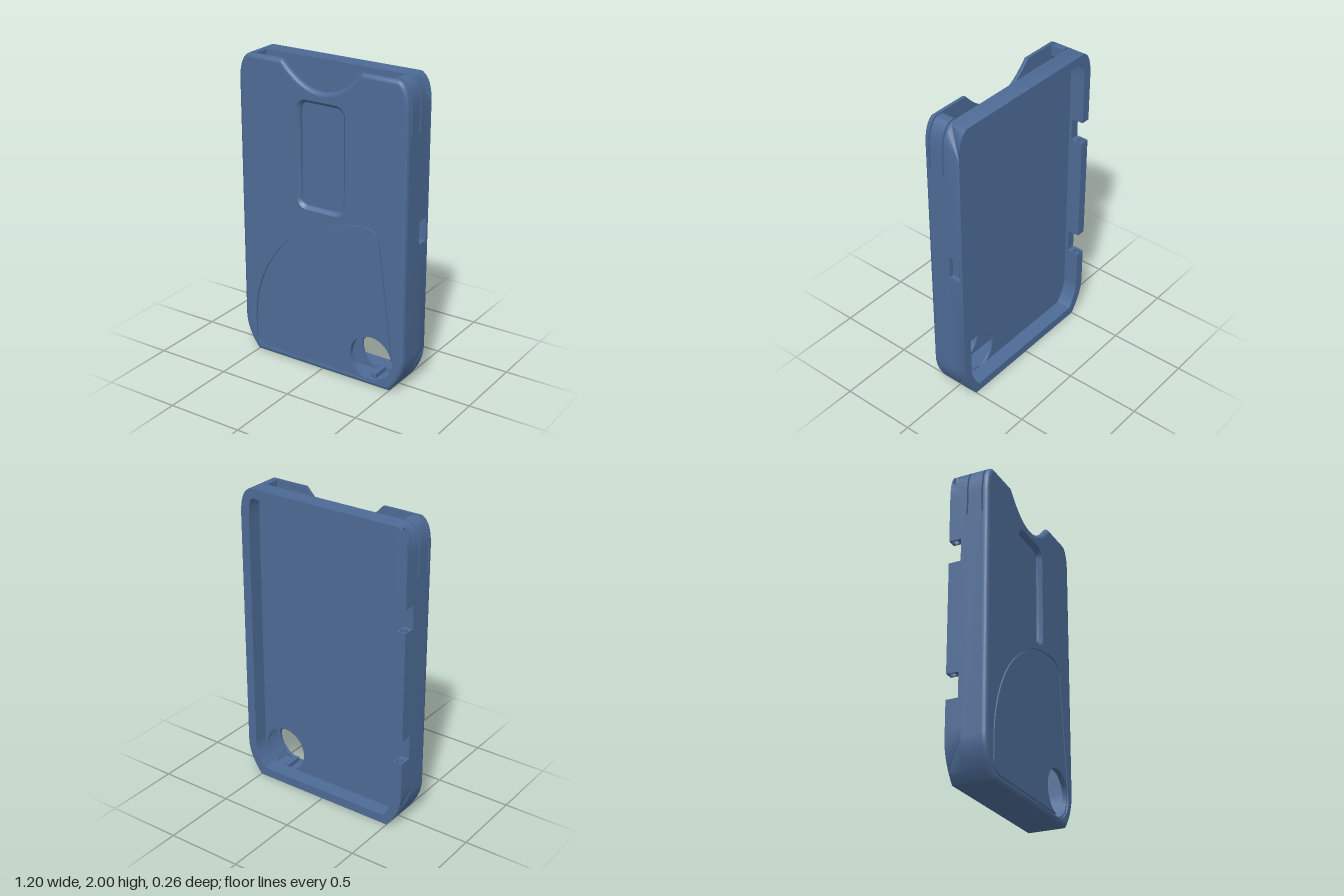
import * as THREE from 'three';
import { toCreasedNormals } from 'three/addons/utils/BufferGeometryUtils.js';

const V = (x, y) => new THREE.Vector2(x, y);
const range = (n, f) => Array.from({ length: n + 1 }, (_, i) => f(i / n));
const mirrored = pts => pts.map(p => V(-p.x, p.y)).reverse();
const arc = (cx, cy, r, a0, a1, n = 12) => range(n, t => {
  const a = THREE.MathUtils.degToRad(a0 + (a1 - a0) * t);
  return V(cx + r * Math.cos(a), cy + r * Math.sin(a));
});
const circle = (cx, cy, r, n = 48) => arc(cx, cy, r, 0, 360, n).slice(0, n);

// Case silhouette: height of the top and bottom corner curves at a given x
const topY = x => {
  const t = Math.min(1, Math.sqrt(Math.max(0, 0.6 - Math.abs(x)) / 0.07));
  return 1.82 * (1 - t) ** 2 + 3.94 * t * (1 - t) + 2 * t * t;
};
const botY = x => 0.24 * (1 - Math.min(1, Math.sqrt(Math.max(0, 0.6 - Math.abs(x)) / 0.1)));
const topCorner = range(12, t => { const x = 0.6 - 0.07 * t * t; return V(x, topY(x)); });
const botCorner = range(12, t => { const x = 0.6 - 0.1 * t * t; return V(x, botY(x)); }).reverse();
const outline = (notch = []) =>
  [...mirrored(botCorner), ...botCorner, ...topCorner, ...notch, ...mirrored(topCorner)];

// Moves a counter-clockwise loop inwards by d
const inset = (pts, d) => pts.map((p, i) => {
  const normal = (a, b) => V(a.y - b.y, b.x - a.x).normalize();
  const n1 = normal(pts.at(i - 1), p), n2 = normal(p, pts[(i + 1) % pts.length]);
  const k = d / (1 + n1.dot(n2));
  return V(p.x + (n1.x + n2.x) * k, p.y + (n1.y + n2.y) * k);
});

const shapeOf = (pts, holes = []) => {
  const s = new THREE.Shape(pts);
  s.holes = holes.map(h => new THREE.Path(h));
  return s;
};
const slab = (pts, z0, z1, holes) =>
  new THREE.ExtrudeGeometry(shapeOf(pts, holes), { depth: z1 - z0, bevelEnabled: false }).translate(0, 0, z0);
const sheet = (pts, z, holes) => new THREE.ShapeGeometry(shapeOf(pts, holes)).translate(0, 0, z);

// Band through closed loops given as [points, z]
function loft(rings) {
  const n = rings[0][0].length, pos = [], idx = [];
  rings.forEach(([pts, z]) => pts.forEach(p => pos.push(p.x, p.y, z)));
  for (let r = 0; r < rings.length - 1; r++) for (let i = 0; i < n; i++) {
    const a = r * n + i, b = r * n + (i + 1) % n;
    idx.push(a, b, b + n, a, b + n, a + n);
  }
  const g = new THREE.BufferGeometry();
  g.setAttribute('position', new THREE.Float32BufferAttribute(pos, 3));
  g.setIndex(idx);
  return g;
}

// Upright piece of a side wall; its ends follow y0(x) and y1(x)
function wallPiece(side, y0, y1, { z0 = -0.13, z1 = -0.03, x0 = 0.54, x1 = 0.6, bore = false } = {}) {
  const steps = range(8, t => x1 - (x1 - x0) * t * t);
  let pts = [...steps.map(x => V(side * x, -z0)), ...steps.map(x => V(side * x, -z1)).reverse()];
  if (THREE.ShapeUtils.isClockWise(pts)) pts = pts.reverse();
  const g = slab(pts, 0, 1, bore ? [circle(side * 0.57, 0.1, 0.023, 20)] : []).rotateX(-Math.PI / 2);
  const p = g.attributes.position;
  const at = (f, x) => typeof f === 'function' ? f(x) : f;
  for (let i = 0; i < p.count; i++) p.setY(i, at(p.getY(i) > 0.5 ? y1 : y0, p.getX(i)));
  g.computeVertexNormals();
  return g;
}

// Fan-shaped panel edge, inset by d, without its lower right corner
const fanEdge = d => [
  ...arc(0.33, 0.97, 0.1 - d, 7, 90, 10),
  ...arc(0.33, 0.23, 0.84 - d, 90, 180, 40).slice(1),
  ...arc(-0.42, 0.125, 0.09 - d, 180, 270, 10),
];

export function createModel() {
  const model = new THREE.Group();
  const material = new THREE.MeshStandardMaterial({ color: 0x4d6b96, side: THREE.DoubleSide });
  const part = (name, ...geos) => {
    const group = new THREE.Group();
    group.name = name;
    geos.forEach((g, i) => {
      const mesh = new THREE.Mesh(toCreasedNormals(g, 0.5), material);
      mesh.name = geos.length > 1 ? `${name}${i + 1}` : name;
      group.add(mesh);
    });
    model.add(group);
  };

  // Front plate: rounded rim, thumb notch, window, round hole and fan groove
  const back = 0.095, front = 0.13, grooveZ = 0.118;
  const halfNotch = new THREE.CubicBezierCurve(V(0.28, 2), V(0.2, 1.91), V(0.11, 1.84), V(0, 1.84)).getPoints(14);
  const plate = outline([...halfNotch, ...mirrored(halfNotch).slice(1)]);
  const rim = 0.025;
  const rounded = range(5, t => {
    const a = t * Math.PI / 2;
    return [inset(plate, rim * (1 - Math.cos(a))), front - rim + rim * Math.sin(a)];
  });
  const windowLoop = d => [[0.105, 1.71, 0], [-0.105, 1.71, 90], [-0.105, 1.15, 180], [0.105, 1.15, 270]]
    .flatMap(([x, y, a]) => arc(x, y, 0.07 - d, a, a + 90, 8));
  const hole = circle(0.37, 0.19, 0.15);
  const fan = [...arc(0.37, 0.19, 0.16, -90, 7, 16), ...fanEdge(0)];
  const inlay = [...arc(0.37, 0.19, 0.15, 258, 8, 40), ...fanEdge(0.013)];
  part('frontPlate',
    loft([[plate, back], ...rounded]),
    sheet(rounded.at(-1)[0], front, [windowLoop(0), fan]),
    sheet(plate, back, [windowLoop(0.02), hole]));
  part('windowEdge', loft([[windowLoop(0), front], [windowLoop(0.02), 0.11], [windowLoop(0.02), back]]));
  part('fanGroove', loft([[fan, front], [fan, grooveZ]]), sheet(fan, grooveZ, [hole]));
  part('fanPanel', sheet(inlay, front), loft([[inlay, grooveZ], [inlay, front]]));
  part('frontHoleEdge', loft([[hole, grooveZ], [hole, back]]));

  // Card slot: U-shaped wall, with springy arms freed by slits near the top
  const full = outline(), inner = inset(full, 0.06);
  const lower = pts => pts.filter(p => p.y < 1), upper = pts => pts.filter(p => p.y > 1);
  const slotFloor = lower(inner).map(p => V(p.x, p.y < 0.061 ? 0.04 : p.y)).reverse();
  const uShape = end => [...lower(full), ...end, ...slotFloor, ...mirrored(end)];
  part('slotWall', slab(uShape([V(0.6, 1.67), V(0.54, 1.67)]), -0.015, back));
  part('springArms', slab(uShape([...topCorner, V(0.49, 2), V(0.49, 1.93), V(0.54, 1.85)]), -0.005, 0.085));
  part('holeTab', new THREE.BoxGeometry(0.035, 0.04, 0.12).translate(0.372, 0.05, 0.033));

  // Divider between the card slot and the rear tray
  part('divider', slab(full, -0.03, -0.015, [hole]));

  // Rear tray rim: top and bottom bars
  const mid = pts => pts.filter(p => Math.abs(p.x) < 0.539);
  const topBar = [V(0.54, topY(0.54)), ...mid(upper(full)), V(-0.54, topY(0.54)), ...upper(inner).reverse()];
  const bottomBar = [V(-0.54, botY(0.54)), ...mid(lower(full)), V(0.54, botY(0.54)), ...lower(inner).reverse()];
  part('trayTop', slab(topBar, -0.13, -0.03));
  part('trayBottom', slab(bottomBar, -0.13, -0.03));

  // Hinge side: two notches and a bore for the pin
  const hinge = { bore: true };
  part('hingeWall',
    wallPiece(-1, botY, 0.3),
    wallPiece(-1, 0.3, 0.48, hinge),
    wallPiece(-1, 0.48, 0.64, { z0: -0.05 }),
    wallPiece(-1, 0.64, 1.36, hinge),
    wallPiece(-1, 1.36, 1.51, { z0: -0.05 }),
    wallPiece(-1, 1.51, topY, hinge));

  // Latch side: a shallow pocket in the outer face, deeper along its rear edge
  part('latchWall',
    wallPiece(1, botY, 0.96),
    wallPiece(1, 0.96, 1.11, { z0: -0.13, z1: -0.11 }),
    wallPiece(1, 0.96, 1.11, { z0: -0.11, z1: -0.08, x1: 0.55 }),
    wallPiece(1, 0.96, 1.11, { z0: -0.08, x1: 0.57 }),
    wallPiece(1, 1.11, topY));
  return model;
}
